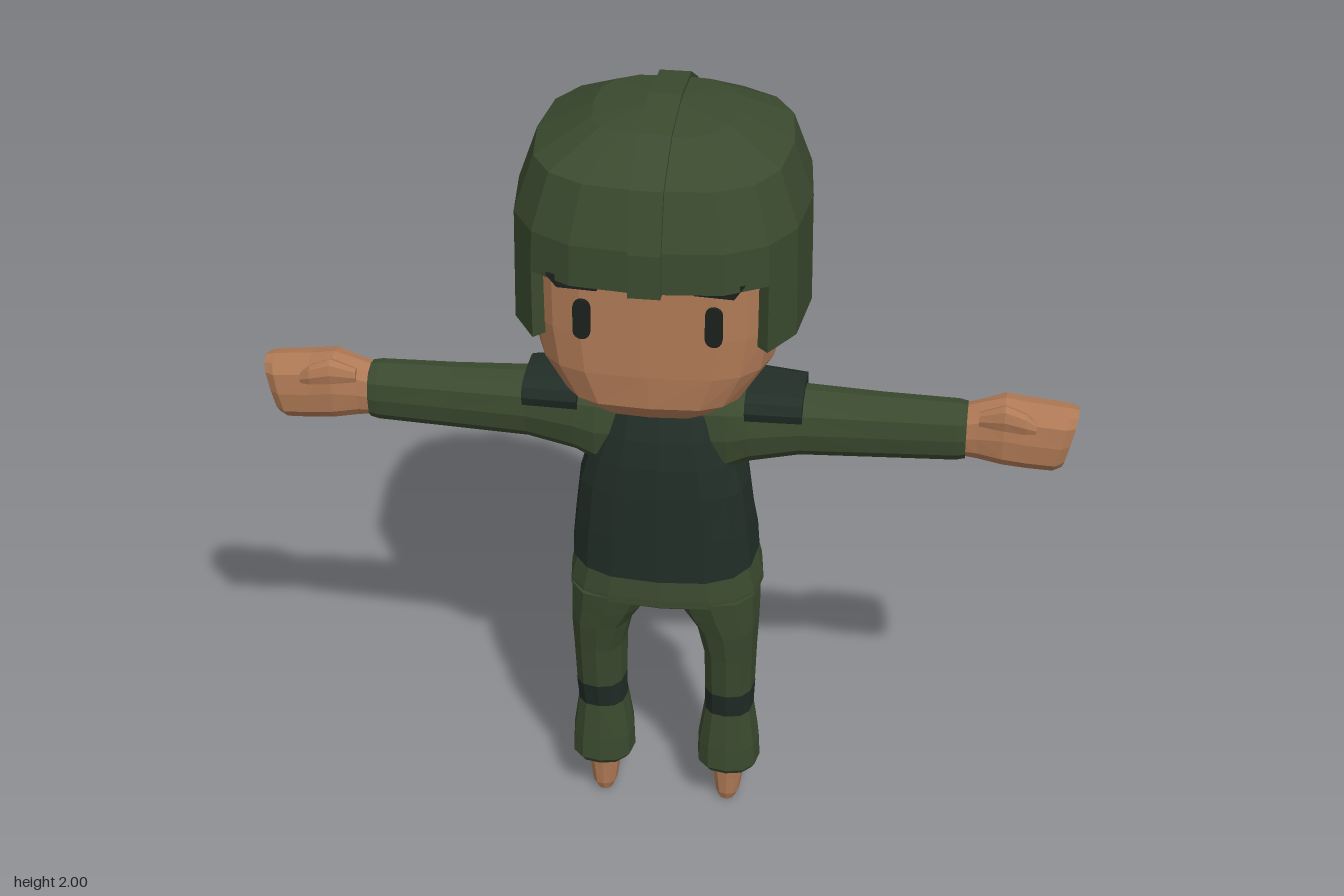
import * as THREE from 'three';

const mat = (name, color, extra = {}) => {
  const m = new THREE.MeshStandardMaterial({ color, flatShading: true, ...extra });
  m.name = name;
  return m;
};

// Signed power, used for rounded-square cross-sections
const pw = (v, n) => Math.sign(v) * Math.pow(Math.abs(v), 2 / n);

// Build a skin from equal rows of points, closing each row and optionally both ends
function skin(rows, caps = true) {
  const pos = [], idx = [], n = rows[0].length;
  rows.forEach(r => r.forEach(p => pos.push(...p)));
  for (let i = 0; i < rows.length - 1; i++) {
    for (let j = 0; j < n; j++) {
      const a = i * n + j, b = i * n + (j + 1) % n;
      idx.push(a, b, b + n, a, b + n, a + n);
    }
  }
  if (caps) {
    [0, rows.length - 1].forEach((r, end) => {
      const c = [0, 1, 2].map(k => rows[r].reduce((s, p) => s + p[k], 0) / n);
      const ci = pos.length / 3;
      pos.push(...c);
      for (let j = 0; j < n; j++) {
        const a = r * n + j, b = r * n + (j + 1) % n;
        if (end) idx.push(a, b, ci); else idx.push(b, a, ci);
      }
    });
  }
  const g = new THREE.BufferGeometry();
  g.setAttribute('position', new THREE.Float32BufferAttribute(pos, 3));
  g.setIndex(idx);
  g.computeVertexNormals();
  return g;
}

// Loft through rings [h, a0, a1, b0, b1, roundness, tilt].
// Axis y: h = y, a = x, b = z.  Axis x: h = x, a = z, b = y.
function loft(rings, { axis = 'y', seg = 12 } = {}) {
  return skin(rings.map(([h, a0, a1, b0, b1, n = 2.5, tilt = 0]) => {
    const row = [];
    for (let j = 0; j < seg; j++) {
      const t = (j / seg) * Math.PI * 2;
      const a = (a0 + a1) / 2 + (a1 - a0) / 2 * pw(Math.sin(t), n);
      const db = (b1 - b0) / 2 * pw(Math.cos(t), n);
      const b = (b0 + b1) / 2 + db, hh = h + tilt * db;
      row.push(axis === 'y' ? [a, hh, b] : [hh, b, a]);
    }
    return row;
  }));
}

// Mirror a geometry across x = 0 and keep its faces outward
function mirrored(geo) {
  const g = geo.clone().scale(-1, 1, 1), ix = g.index;
  for (let i = 0; i < ix.count; i += 3) {
    const t = ix.getX(i);
    ix.setX(i, ix.getX(i + 2));
    ix.setX(i + 2, t);
  }
  g.computeVertexNormals();
  return g;
}

export function createModel() {
  const model = new THREE.Group();
  model.name = 'figure';
  const skinTone = mat('skin', 0xb07a56);
  const green = mat('uniformGreen', 0x3b4a2f);
  const dark = mat('darkCloth', 0x222e28);
  const ink = mat('eyeDark', 0x1b211c);

  const add = (name, geo, material) => {
    const m = new THREE.Mesh(geo, material);
    m.name = name;
    model.add(m);
  };
  const pair = (name, geo, material) => {
    add(name + 'Left', geo, material);
    add(name + 'Right', mirrored(geo), material);
  };

  // Head with a flat face and a rounder back
  const headRows = [[1.275, .09, .17, .02], [1.3, .165, .255, .12], [1.345, .225, .293, .19],
    [1.43, .28, .3, .275], [1.53, .298, .3, .3], [1.66, .3, .3, .3], [1.8, .26, .26, .26]];
  add('head', skin(headRows.map(([y, rx, zf, zb]) => {
    const row = [];
    for (let j = 0; j < 20; j++) {
      const t = j / 20 * Math.PI * 2, c = Math.cos(t);
      const n = c > 0 ? 3.6 : 2.5;
      row.push([rx * pw(Math.sin(t), n), y, (c > 0 ? zf : zb) * pw(c, n)]);
    }
    return row;
  })), skinTone);

  // Eyes and brows as thin plates
  const eye = new THREE.Shape();
  eye.absarc(0, .03, .02, 0, Math.PI);
  eye.absarc(0, -.03, .02, Math.PI, Math.PI * 2);
  const brow = new THREE.Shape([[-.075, .02], [-.05, -.012], [.04, -.016], [.065, .02]]
    .map(p => new THREE.Vector2(...p)));
  for (const s of [1, -1]) {
    const side = s > 0 ? 'Left' : 'Right';
    const e = new THREE.ExtrudeGeometry(eye, { depth: .009, bevelEnabled: false, curveSegments: 4 });
    add('eye' + side, e.translate(s * .15, 1.573, .294), ink);
    const b = new THREE.ExtrudeGeometry(brow, { depth: .009, bevelEnabled: false });
    add('brow' + side, b.translate(s * .155, 1.665, .295), ink);
  }

  // Helmet shell: open at the face, lower at the sides and back
  const cols = [];
  for (let j = -8; j < 8; j++) {
    const t = j * Math.PI / 8, front = Math.abs(j) < 2;
    if (j === -2) cols.push([t, 1.5], [t, 1.67]);
    else if (j === 2) cols.push([t, 1.67], [t, 1.5]);
    else cols.push([t, front ? 1.67 : 1.5]);
  }
  const shellRow = (y, r) => cols.map(([t, low]) =>
    [r * pw(Math.sin(t), 2.8), y ?? low, r * pw(Math.cos(t), 2.8)]);
  const dome = [[1.77, .341], [1.9, .295], [1.97, .165], [1.988, .03]];
  add('helmet', skin([shellRow(1.76, .27), shellRow(null, .312), shellRow(null, .344),
    ...dome.map(([y, r]) => shellRow(y, r))]), green);

  // Raised ridge over the helmet, front brim to back edge
  const path = [[.344, 1.665], [.341, 1.77], [.295, 1.9], [.165, 1.97], [0, 1.988],
    [-.165, 1.97], [-.295, 1.9], [-.341, 1.77], [-.344, 1.5]];
  add('helmetRidge', skin(path.map(([z, y]) => {
    const d = new THREE.Vector2(z, Math.max(0, y - 1.77) * 1.3).normalize();
    const oz = z + d.x * .011, oy = y + d.y * .011, iz = z - d.x * .02, iy = y - d.y * .02;
    return [[-.037, iy, iz], [-.037, oy, oz], [.037, oy, oz], [.037, iy, iz]];
  })), green);

  // Neck and bare nape
  add('neck', loft([[1.2, -.085, .085, -.08, .07], [1.33, -.08, .08, -.07, .08]]), skinTone);
  add('nape', loft([[1.195, -.06, .06, -.127, 0, 5], [1.275, -.085, .085, -.085, .03, 5]]), skinTone);

  // Vest, with its lower edge rising toward the back
  add('vest', loft([[.79, -.232, .232, -.18, .142, 2.8, -.18], [.88, -.222, .222, -.152, .142, 2.8],
    [1.0, -.208, .208, -.138, .142, 2.8], [1.08, -.185, .185, -.13, .138, 2.8],
    [1.15, -.155, .155, -.122, .128, 3], [1.21, -.148, .148, -.112, .108, 3],
    [1.268, -.145, .145, -.068, .062, 3]], { seg: 16 }), dark);

  // Shirt hem, seat and trousers
  add('shirtHem', loft([[.68, -.242, .242, -.205, .132, 3], [.7, -.24, .24, -.205, .132, 3],
    [.81, -.214, .214, -.168, .125, 3, -.15]], { seg: 16 }), green);
  add('trouserSeat', loft([[.575, -.07, .07, -.155, -.04], [.6, -.11, .11, -.172, .02],
    [.645, -.19, .19, -.178, .085], [.7, -.228, .228, -.185, .118, 3]], { seg: 16 }), green);
  pair('trouserLeg', loft([[.38, .1, .228, -.098, .075], [.5, .098, .232, -.112, .092],
    [.58, .08, .236, -.128, .108], [.63, .045, .237, -.145, .116], [.69, .015, .237, -.165, .125]]), green);
  pair('kneeBand', loft([[.305, .1, .225, -.09, .056], [.38, .1, .229, -.099, .076]]), dark);
  pair('trouserCuff', loft([[.122, .095, .232, -.1, .055], [.138, .082, .243, -.11, .066],
    [.2, .084, .24, -.105, .064], [.305, .1, .225, -.089, .055]]), green);
  pair('foot', loft([[.003, .14, .18, -.055, .01], [.025, .13, .192, -.065, .018],
    [.08, .122, .2, -.068, .022], [.14, .115, .208, -.075, .028]]), skinTone);

  // Sleeves, shoulder pads and hands, lofted outward along x
  const out = { axis: 'x' };
  pair('sleeve', loft([[.1, -.095, .1, 1.04, 1.262], [.16, -.1, .105, 1.04, 1.268],
    [.21, -.098, .1, 1.068, 1.262], [.33, -.085, .075, 1.087, 1.25], [.52, -.075, .06, 1.09, 1.243],
    [.7, -.07, .052, 1.095, 1.24], [.722, -.066, .048, 1.1, 1.236]], out), green);
  pair('shoulderPad', loft([[.2, -.105, .105, 1.195, 1.275, 3], [.335, -.095, .09, 1.19, 1.265, 3]], out), dark);
  pair('hand', loft([[.7, -.058, .04, 1.107, 1.228], [.75, -.06, .042, 1.1, 1.245],
    [.81, -.072, .05, 1.092, 1.262, 3], [.87, -.08, .046, 1.084, 1.25, 3],
    [.945, -.078, .045, 1.082, 1.242, 3, .2], [.967, -.06, .03, 1.09, 1.238, 3, .22]], out), skinTone);
  pair('thumb', loft([[.75, .015, .045, 1.205, 1.24], [.81, .015, .062, 1.2, 1.268],
    [.86, .02, .064, 1.198, 1.25], [.885, .03, .055, 1.2, 1.228]], { axis: 'x', seg: 8 }), skinTone);

  return model;
}
